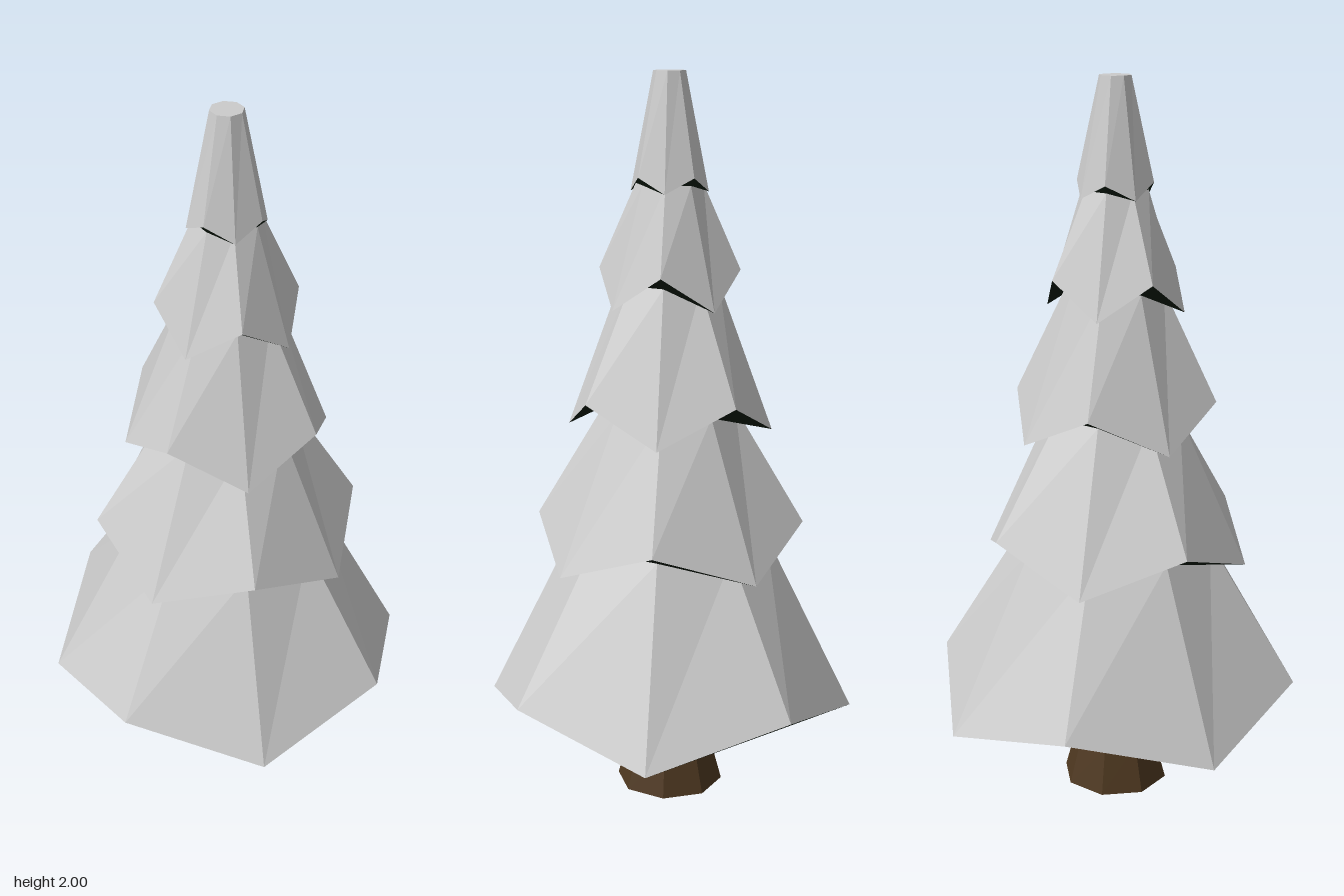
import * as THREE from 'three';

const SIDES = 8;

// Octagonal ring with corners on the axes; axis and diagonal corners may differ in height
function ring(r, yAxis, yDiagonal = yAxis) {
  return Array.from({ length: SIDES }, (_, k) => {
    const a = (k / SIDES) * Math.PI * 2;
    return new THREE.Vector3(r * Math.sin(a), k % 2 ? yDiagonal : yAxis, r * Math.cos(a));
  });
}

// Outward-facing wall from a lower ring to an upper ring
function band(lower, upper) {
  return lower.flatMap((p, i) => {
    const j = (i + 1) % SIDES;
    return [p, lower[j], upper[j], p, upper[j], upper[i]];
  });
}

// Flat lid, facing up or down
function lid(points, up) {
  const out = [];
  for (let i = 1; i < SIDES - 1; i++) {
    out.push(points[0], ...(up ? [points[i], points[i + 1]] : [points[i + 1], points[i]]));
  }
  return out;
}

function facets(name, triangles, material) {
  const geometry = new THREE.BufferGeometry().setFromPoints(triangles);
  geometry.computeVertexNormals();
  const mesh = new THREE.Mesh(geometry, material);
  mesh.name = name;
  return mesh;
}

export function createModel() {
  const tree = new THREE.Group();
  tree.name = 'firTree';
  const paint = (color) => new THREE.MeshStandardMaterial({ color, flatShading: true });
  const snow = paint(0xcccccc);
  const shade = paint(0x0d1c0f);
  const bark = paint(0x4e3820);

  // Flared trunk with a dark base
  const trunkRings = [ring(0.15, 0), ring(0.115, 0.13), ring(0.104, 0.27), ring(0.1, 0.4)];
  const trunkWalls = trunkRings.slice(1).flatMap((r, i) => band(trunkRings[i], r));
  tree.add(facets('trunk', trunkWalls, bark));
  tree.add(facets('trunkBase', lid(trunkRings[0], false), shade));

  // Tiers: rim radius, rim height at axis and diagonal corners, top radius, top height
  const tiers = [
    [0.515, 0.35, 0.25, 0.27, 0.745],
    [0.37, 0.69, 0.79, 0.18, 1.107],
    [0.28, 1.15, 1.05, 0.133, 1.45],
    [0.19, 1.39, 1.485, 0.09, 1.71],
    [0.104, 1.73, 1.69, 0.043, 2],
  ];
  let below = null;
  tiers.forEach(([r, yAxis, yDiagonal, rTop, yTop], i) => {
    const rim = ring(r, yAxis, yDiagonal);
    const top = ring(rTop, yTop);
    const tier = new THREE.Group();
    tier.name = `branchTier${i + 1}`;
    tier.add(facets('snowyBranches', band(rim, top), snow));
    // Underside: folded panel on the lowest tier, a collar on the others
    const folds = [[7, 1, 0], [6, 1, 7], [6, 2, 1], [2, 5, 3], [2, 6, 5], [3, 5, 4]];
    const under = below ? band(below, rim) : folds.flat().map((k) => rim[k]);
    tier.add(facets('underside', under, shade));
    tree.add(tier);
    below = top;
  });

  // Flat tip
  tree.add(facets('tip', lid(below, true), snow));
  return tree;
}
